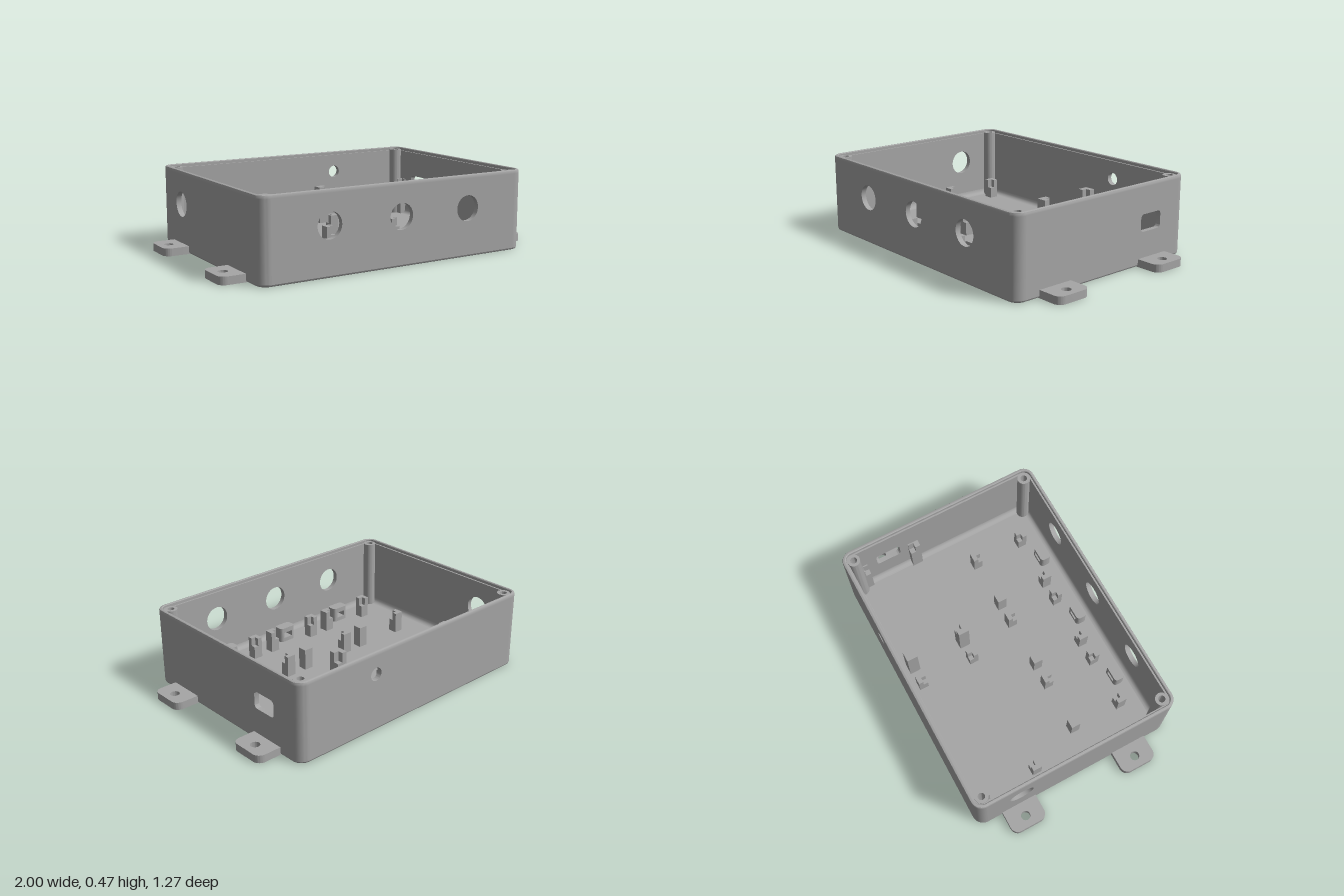
import * as THREE from 'three';
import { toCreasedNormals } from 'three/addons/utils/BufferGeometryUtils.js';

const HX = 0.855, HZ = 0.633, R = 0.065, WALL = 0.03, FLOOR = 0.03;
const BOTTOM = 0.012, TOP = 0.45;
const plastic = new THREE.MeshStandardMaterial({ color: 0xa6a6a6 });
plastic.name = 'grey plastic';

function add(parent, name, geometry, x = 0, y = 0, z = 0) {
  const mesh = new THREE.Mesh(toCreasedNormals(geometry, 0.6), plastic);
  mesh.name = name;
  mesh.position.set(x, y, z);
  parent.add(mesh);
  return mesh;
}

function roundedRect(w, h, r, Type = THREE.Shape) {
  const s = new Type(), x = w / 2, y = h / 2;
  s.moveTo(-x + r, -y);
  s.lineTo(x - r, -y); s.absarc(x - r, -y + r, r, -Math.PI / 2, 0);
  s.lineTo(x, y - r); s.absarc(x - r, y - r, r, 0, Math.PI / 2);
  s.lineTo(-x + r, y); s.absarc(-x + r, y - r, r, Math.PI / 2, Math.PI);
  s.lineTo(-x, -y + r); s.absarc(-x + r, -y + r, r, Math.PI, Math.PI * 1.5);
  return s;
}

function circle(x, y, r, Type = THREE.Path) {
  return new Type().absarc(x, y, r, 0, Math.PI * 2);
}

const extrude = (shape, depth) =>
  new THREE.ExtrudeGeometry(shape, { depth, bevelEnabled: false, curveSegments: 20 });
// plan shape raised along y
const raise = (shape, height) => extrude(shape, height).rotateX(-Math.PI / 2);

// sweep a profile of [inset, y] round the rounded outline of the case
function sweep(profile, cornersOnly = false) {
  const N = 10, ring = 4 * (N + 1), pos = [], idx = [];
  for (const [inset, y] of profile) {
    const r = Math.max(R - inset, 0.003);
    for (let c = 0; c < 4; c++) {
      const sx = c === 0 || c === 3 ? 1 : -1, sz = c < 2 ? 1 : -1;
      for (let k = 0; k <= N; k++) {
        const a = (c + k / N) * Math.PI / 2;
        pos.push(sx * (HX - inset - r) + r * Math.cos(a), y, sz * (HZ - inset - r) + r * Math.sin(a));
      }
    }
  }
  for (let j = 0; j < profile.length - 1; j++) {
    for (let i = 0; i < ring; i++) {
      if (cornersOnly && i % (N + 1) === N) continue;
      const a = j * ring + i, b = j * ring + (i + 1) % ring;
      idx.push(a, a + ring, b, b, a + ring, b + ring);
    }
  }
  const g = new THREE.BufferGeometry();
  g.setAttribute('position', new THREE.Float32BufferAttribute(pos, 3));
  g.setIndex(idx);
  g.computeVertexNormals();
  return g;
}

// flat wall panel with openings, outer face at local z = WALL
function wallPanel(halfLength, holes) {
  const s = new THREE.Shape();
  s.moveTo(-halfLength, BOTTOM); s.lineTo(halfLength, BOTTOM);
  s.lineTo(halfLength, TOP); s.lineTo(-halfLength, TOP);
  s.closePath();
  s.holes.push(...holes);
  return extrude(s, WALL);
}

function slot(x, y, w, h, r) {
  const pts = roundedRect(w, h, r).getPoints(8).map(p => p.add(new THREE.Vector2(x, y)));
  return new THREE.Path(pts);
}

// square post with a notch in the quarter facing the board centre
function post(parent, x, z, size, top, notch, dx, dz) {
  const g = new THREE.Group();
  g.name = 'boardPost';
  g.position.set(x, 0, z);
  const low = top - notch, h = size / 2, base = FLOOR - 0.005;
  add(g, 'postBase', new THREE.BoxGeometry(size, low - base, size), 0, (low + base) / 2, 0);
  add(g, 'postBack', new THREE.BoxGeometry(h, notch, size), -dx * h / 2, low + notch / 2, 0);
  add(g, 'postSide', new THREE.BoxGeometry(h, notch, h), dx * h / 2, low + notch / 2, -dz * h / 2);
  parent.add(g);
}

export function createModel() {
  const model = new THREE.Group();
  model.name = 'enclosureBase';

  // floor, bottom edge, inner fillet and stepped rim
  add(model, 'floor', raise(roundedRect(2 * HX - 0.024, 2 * HZ - 0.024, R - 0.012), FLOOR));
  add(model, 'bottomEdge', sweep([[0.012, 0], [0.004, 0.004], [0, BOTTOM]]));
  add(model, 'floorFillet', sweep([[0.03, 0.06], [0.032, 0.049], [0.039, 0.039], [0.049, 0.032], [0.06, FLOOR]]));
  add(model, 'rim', sweep([[0, TOP], [0, 0.461], [0.003, 0.467], [0.009, 0.47], [0.016, 0.47],
    [0.02, 0.466], [0.02, TOP], [WALL, TOP]]));

  // rounded wall corners, outside and inside
  add(model, 'outerCorners', sweep([[0, BOTTOM], [0, TOP]], true));
  add(model, 'innerCorners', sweep([[WALL, TOP], [WALL, FLOOR]], true));

  // walls with their openings
  const lx = HX - R, lz = HZ - R;
  add(model, 'frontWall', wallPanel(lx, [-0.45, 0, 0.45].map(x => circle(x, 0.28, 0.074))), 0, 0, HZ - WALL);
  add(model, 'backWall', wallPanel(lx, [circle(-0.325, 0.34, 0.038)]), 0, 0, -HZ + WALL).rotation.y = Math.PI;
  add(model, 'leftWall', wallPanel(lz, [slot(0.35, 0.245, 0.157, 0.1, 0.022)]), HX - WALL).rotation.y = Math.PI / 2;
  add(model, 'rightWall', wallPanel(lz, [circle(-0.35, 0.275, 0.074)]), -HX + WALL).rotation.y = -Math.PI / 2;

  // screw bosses in the corners and mounting tabs at the sides
  for (const sx of [-1, 1]) {
    for (const sz of [-1, 1]) {
      const boss = circle(0, 0, 0.038, THREE.Shape);
      boss.holes.push(circle(0, 0, 0.02));
      add(model, 'screwBoss', raise(boss, 0.46 - FLOOR), sx * lx, FLOOR, sz * lz);

      const r = 0.045, w = 0.109, tab = new THREE.Shape();
      tab.moveTo(0.842, -w);
      tab.lineTo(1 - r, -w); tab.absarc(1 - r, -w + r, r, -Math.PI / 2, 0);
      tab.lineTo(1, w - r); tab.absarc(1 - r, w - r, r, 0, Math.PI / 2);
      tab.lineTo(0.842, w);
      tab.holes.push(circle(0.934, 0, 0.027));
      add(model, 'mountingTab', raise(tab, 0.045), 0, 0, sz * 0.366).rotation.y = sx < 0 ? Math.PI : 0;
    }
  }

  // posts for five circuit boards: centre x, z, half spans, post size, top, notch
  const boards = [
    [-0.33, -0.355, 0.39, 0.17, 0.056, 0.148, 0.05],
    [0.501, -0.355, 0.317, 0.17, 0.066, 0.262, 0.06],
    ...[-0.451, -0.002, 0.446].map(x => [x, 0.291, 0.157, 0.157, 0.056, 0.158, 0.05]),
  ];
  for (const [cx, cz, sx, sz, size, top, notch] of boards)
    for (const dx of [-1, 1])
      for (const dz of [-1, 1])
        post(model, cx + dx * sx, cz + dz * sz, size, top, notch, -dx, -dz);

  // cable tie anchors behind the front holes
  for (const x of [-0.45, 0, 0.445]) {
    const anchor = new THREE.Group();
    anchor.name = 'cableAnchor';
    anchor.position.set(x, FLOOR, 0.517);
    add(anchor, 'anchorBase', raise(roundedRect(0.11, 0.066, 0.02), 0.025));
    add(anchor, 'anchorTop', raise(roundedRect(0.11, 0.066, 0.02), 0.03), 0, 0.06);
    for (const s of [-1, 1]) {
      const leg = new THREE.Shape();
      leg.moveTo(0.03, -0.033);
      leg.lineTo(0.035, -0.033); leg.absarc(0.035, -0.013, 0.02, -Math.PI / 2, 0);
      leg.lineTo(0.055, 0.013); leg.absarc(0.035, 0.013, 0.02, 0, Math.PI / 2);
      leg.lineTo(0.03, 0.033);
      add(anchor, 'anchorLeg', raise(leg, 0.035), 0, 0.025).rotation.y = s < 0 ? Math.PI : 0;
    }
    model.add(anchor);
  }
  return model;
}
